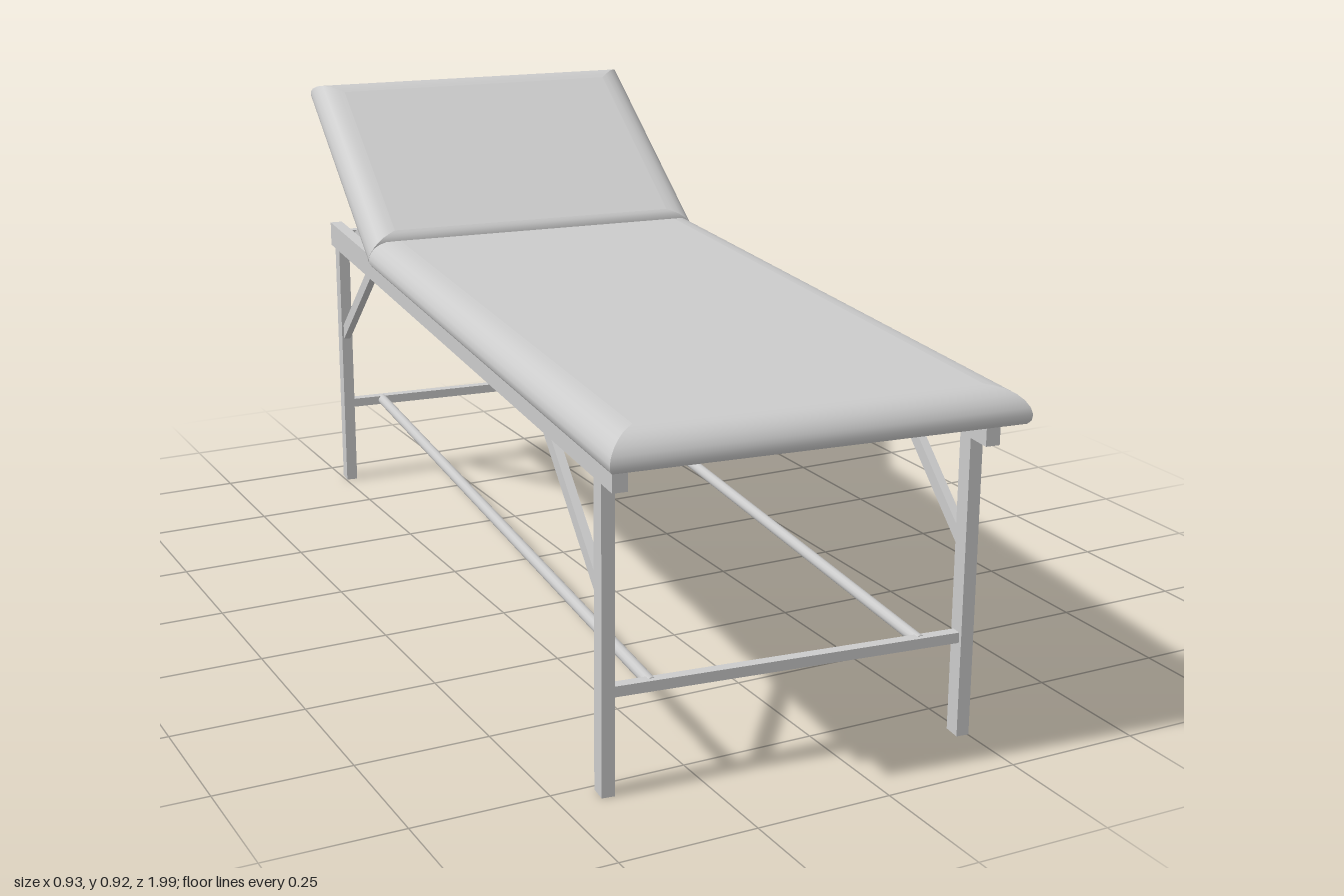
import * as THREE from 'three';

const material = new THREE.MeshStandardMaterial({ color: 0xcccccc });

function add(parent, name, geometry, x = 0, y = 0, z = 0) {
  const mesh = new THREE.Mesh(geometry, material);
  mesh.name = name;
  mesh.position.set(x, y, z);
  parent.add(mesh);
  return mesh;
}

const box = (parent, name, w, h, d, x, y, z) =>
  add(parent, name, new THREE.BoxGeometry(w, h, d), x, y, z);

// Flat bar in a side plane, running between two (z, y) points
function slantedBar(parent, name, x, [z0, y0], [z1, y1], width, thickness) {
  const length = Math.hypot(z1 - z0, y1 - y0);
  const bar = box(parent, name, width, thickness, length, x, (y0 + y1) / 2, (z0 + z1) / 2);
  bar.rotation.x = -Math.atan2(y1 - y0, z1 - z0);
  return bar;
}

// Upholstered edge: inset and height, from the underside to the top
const edgeProfile = [
  [0.006, 0], [0.001, 0.007], [0, 0.017], [0.003, 0.028], [0.01, 0.039],
  [0.02, 0.048], [0.033, 0.055], [0.048, 0.058], [0.06, 0.059],
];

// Cushion from mitred rectangular rings; endScale squeezes the rounding of the -z / +z ends
function cushion(halfWidth, zBack, zFront, backScale, frontScale) {
  const rings = edgeProfile.map(([inset, y]) => {
    const w = halfWidth - inset;
    const b = zBack + inset * backScale;
    const f = zFront - inset * frontScale;
    return [[-w, y, f], [w, y, f], [w, y, b], [-w, y, b]];
  });
  const positions = [];
  const index = [];
  for (let side = 0; side < 4; side++) {
    const base = positions.length / 3;
    rings.forEach((ring, i) => {
      positions.push(...ring[side], ...ring[(side + 1) % 4]);
      if (i === 0) return;
      const a = base + 2 * (i - 1);
      index.push(a, a + 1, a + 3, a, a + 3, a + 2);
    });
  }
  // Flat top and underside
  const top = positions.length / 3;
  rings[rings.length - 1].forEach((p) => positions.push(...p));
  index.push(top, top + 1, top + 2, top, top + 2, top + 3);
  rings[0].forEach((p) => positions.push(...p));
  index.push(top + 4, top + 6, top + 5, top + 4, top + 7, top + 6);

  const geometry = new THREE.BufferGeometry();
  geometry.setAttribute('position', new THREE.Float32BufferAttribute(positions, 3));
  geometry.setIndex(index);
  geometry.computeVertexNormals();
  return geometry;
}

export function createModel() {
  const model = new THREE.Group();
  model.name = 'adjustableCouch';

  const railX = 0.33;
  const frontZ = 0.82;
  const backZ = -0.889;

  // Frame sides: rails, legs, braces, long stretchers
  const frame = new THREE.Group();
  frame.name = 'frame';
  model.add(frame);
  for (const s of [1, -1]) {
    const side = s > 0 ? 'left' : 'right';
    const x = s * railX;
    box(frame, side + 'Rail', 0.026, 0.052, 1.83, x, 0.574, -0.025);
    for (const [end, z, dir] of [['Front', frontZ, -1], ['Back', backZ, 1]]) {
      box(frame, side + end + 'Leg', 0.0235, 0.55, 0.035, x, 0.275, z);
      slantedBar(frame, side + end + 'Brace', x, [z + dir * 0.008, 0.35], [z + dir * 0.275, 0.558], 0.015, 0.026);
    }
    const stretcher = add(frame, side + 'LongStretcher',
      new THREE.CylinderGeometry(0.011, 0.011, frontZ - backZ, 12), s * 0.248, 0.183, (frontZ + backZ) / 2);
    stretcher.rotation.x = Math.PI / 2;
  }

  // Bars across the frame
  for (const [name, y, z] of [
    ['frontStretcher', 0.183, frontZ], ['backStretcher', 0.183, backZ],
    ['frontCrossbar', 0.59, frontZ], ['hingeCrossbar', 0.588, -0.46], ['backCrossbar', 0.575, -0.92],
  ]) box(frame, name, railX * 2, 0.019, 0.02, 0, y, z);

  // Main cushion
  add(model, 'mainCushion', cushion(0.367, -0.482, 0.957, 0.7, 1), -0.005, 0.602, 0);

  // Raised head section, tilted about its hinge
  const head = new THREE.Group();
  head.name = 'headSection';
  head.position.set(-0.005, 0.606, -0.49);
  head.rotation.x = Math.PI / 6;
  model.add(head);
  add(head, 'headCushion', cushion(0.367, -0.556, 0, 1, 0.55));

  // Flap hanging straight down from the raised end
  box(model, 'headFlap', 0.6, 0.078, 0.008, -0.005, 0.851, -0.962);

  // Props holding up the head section, with pivot pegs
  for (const s of [1, -1]) {
    const side = s > 0 ? 'left' : 'right';
    slantedBar(model, side + 'HeadProp', s * 0.305, [-0.635, 0.683], [-0.83, 0.588], 0.015, 0.022);
    const peg = add(model, side + 'PropPeg', new THREE.CylinderGeometry(0.01, 0.01, 0.07, 12), s * 0.28, 0.678, -0.64);
    peg.rotation.z = Math.PI / 2;
  }

  // The whole couch stands slightly turned
  model.rotation.y = -0.106;
  const root = new THREE.Group();
  root.name = 'couch';
  root.add(model);
  return root;
}
